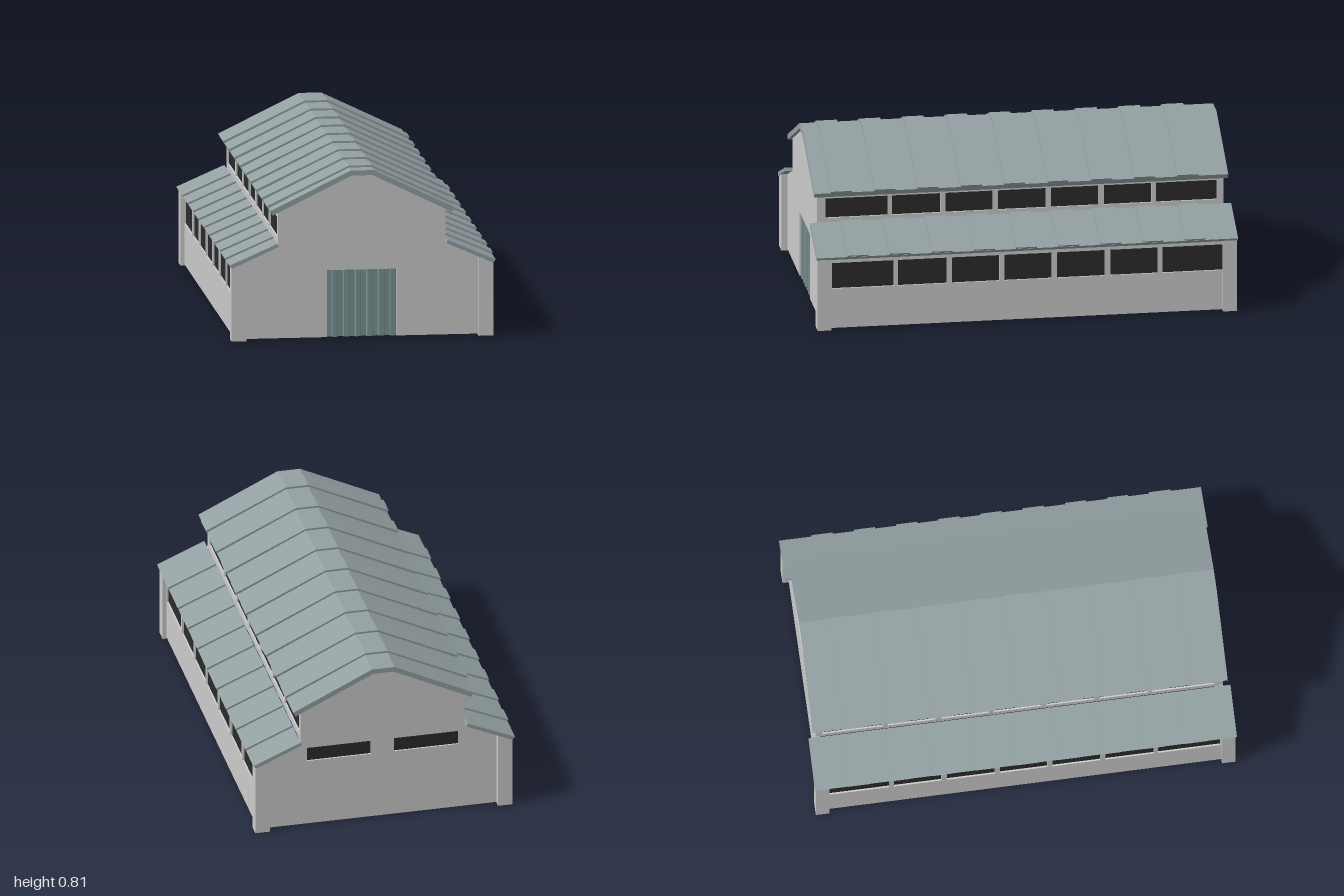
import * as THREE from 'three';

const WALL = new THREE.MeshStandardMaterial({ color: 0xcccccc });
const ROOF = new THREE.MeshStandardMaterial({ color: 0x93a0a2 });
const DOOR = new THREE.MeshStandardMaterial({ color: 0x7a9292, side: THREE.DoubleSide });
const GLASS = new THREE.MeshStandardMaterial({ color: 0x2b2b2b, side: THREE.DoubleSide });
const T = 0.02; // wall thickness

function polygon(points) {
  return new THREE.Shape(points.map(([x, y]) => new THREE.Vector2(x, y)));
}

function rect(x0, x1, y0, y1) {
  return [[x0, y0], [x1, y0], [x1, y1], [x0, y1]];
}

function extrude(shape, depth, z = 0) {
  const geo = new THREE.ExtrudeGeometry(shape, { depth, bevelEnabled: false });
  return geo.translate(0, 0, z);
}

// Mirrors an open half section (x > 0) into a closed outline
function mirrored(half) {
  return [...half, ...half.map(([x, y]) => [-x, y]).reverse()];
}

export function createModel() {
  const group = new THREE.Group();
  const add = (name, geo, mat, parent = group) => {
    const mesh = new THREE.Mesh(geo, mat);
    mesh.name = name;
    parent.add(mesh);
    return mesh;
  };

  // Dark pane filling an opening, set halfway into the wall
  const pane = (name, [a, b, y0, y1], parent) => {
    const geo = new THREE.PlaneGeometry(b - a, y1 - y0);
    add(name, geo.translate((a + b) / 2, (y0 + y1) / 2, T * 0.6), GLASS, parent);
  };

  // Wall with rectangular openings, drawn in x-y and extruded to +z
  const wallWithOpenings = (name, outline, windows, extraHoles = []) => {
    const wall = new THREE.Group();
    wall.name = name;
    const shape = polygon(outline);
    [...windows, ...extraHoles].forEach((w) => shape.holes.push(polygon(rect(...w))));
    add(name + 'Panel', extrude(shape, T), WALL, wall);
    windows.forEach((w) => pane('windowPane', w, wall));
    group.add(wall);
    return wall;
  };

  // Gable end walls: door opening in front, two slit windows behind
  const foot = 0.005;
  const gable = mirrored([[0.6, foot], [0.6, 0.36], [0.396, 0.452], [0.396, 0.612], [0.05, 0.782]]);
  const doorHalf = 0.165, doorTop = 0.325;
  const front = wallWithOpenings('frontWall', gable.slice(1, -1).concat([
    [-0.6, foot], [-doorHalf, foot], [-doorHalf, doorTop],
    [doorHalf, doorTop], [doorHalf, foot], [0.6, foot],
  ]), []);
  front.position.z = 0.965 - T;
  const back = wallWithOpenings('backWall', gable, [
    [0.055, 0.365, 0.34, 0.41], [-0.365, -0.055, 0.34, 0.41],
  ]);
  back.rotation.y = Math.PI;
  back.position.z = -0.965 + T;

  // Corrugated door sheet
  const wave = [];
  const folds = 6, pitch = (2 * doorHalf) / folds;
  for (let i = 0; i < folds; i++) {
    const x = -doorHalf + i * pitch;
    wave.push([x, 0], [x + pitch * 0.42, 0], [x + pitch * 0.5, 0.014], [x + pitch * 0.92, 0.014]);
  }
  wave.push([doorHalf, 0]);
  const sheet = [...wave, ...wave.map(([x, z]) => [x, z - 0.004]).reverse()];
  const doorGeo = extrude(polygon(sheet.map(([x, z]) => [x, -z])), doorTop - foot);
  doorGeo.rotateX(-Math.PI / 2).translate(0, foot, 0.948);
  add('corrugatedDoor', doorGeo, DOOR);

  // Long side walls and clerestory walls, each with a row of seven windows
  const spans = [[0.63, 0.925], [0.38, 0.61], [0.13, 0.355], [-0.12, 0.105],
    [-0.37, -0.145], [-0.622, -0.397], [-0.932, -0.645]];
  const rows = [
    { name: 'sideWall', x: 0.6, y0: foot, y1: 0.36, w0: 0.2, w1: 0.327 },
    { name: 'clerestoryWall', x: 0.396, y0: 0.45, y1: 0.61, w0: 0.482, w1: 0.578 },
  ];
  for (const r of rows) {
    for (const side of [1, -1]) {
      const windows = spans.map(([a, b]) =>
        side > 0 ? [-b, -a, r.w0, r.w1] : [a, b, r.w0, r.w1]);
      const wall = wallWithOpenings(r.name, rect(-0.95, 0.95, r.y0, r.y1), windows);
      wall.rotation.y = side * Math.PI / 2;
      wall.position.x = side * (r.x - T);
    }
  }

  // Corner pillars with tops cut to the roof slope
  const pillar = [[0.55, 0], [0.62, 0], [0.62, 0.352], [0.55, 0.383]];
  for (const side of [1, -1]) {
    const outline = polygon(pillar.map(([x, y]) => [side * x, y]));
    for (const z of [0.93, -0.995]) add('cornerPillar', extrude(outline, 0.065, z), WALL);
  }

  // Upper roof shell with raised sheets
  const under = [[-0.424, 0.595], [-0.049, 0.778], [0.049, 0.778], [0.424, 0.595]];
  const roofSection = (h) => polygon([
    ...under, [0.435 + h * 0.7, 0.617 + h], [0.054, 0.802 + h],
    [-0.054, 0.802 + h], [-0.435 - h * 0.7, 0.617 + h],
  ]);
  add('upperRoof', extrude(roofSection(0), 1.965, -0.982), ROOF);
  for (let i = 0; i < 9; i++) {
    add('upperRoofSheet', extrude(roofSection(0.009), 0.1, 0.805 - i * 0.2055), ROOF);
  }

  // Lean-to roofs on both sides with raised sheets
  const leanSection = (side, h) => polygon([
    [0.397, 0.448], [0.618, 0.349], [0.631 + h * 0.5, 0.364 + h], [0.403 + h * 0.4, 0.463 + h],
  ].map(([x, y]) => [side * x, y]));
  for (const side of [1, -1]) {
    add('lowerRoof', extrude(leanSection(side, 0), 2, -1), ROOF);
    for (let i = 0; i < 9; i++) {
      add('lowerRoofSheet', extrude(leanSection(side, 0.008), 0.1, 0.755 - i * 0.2), ROOF);
    }
  }

  return group;
}
